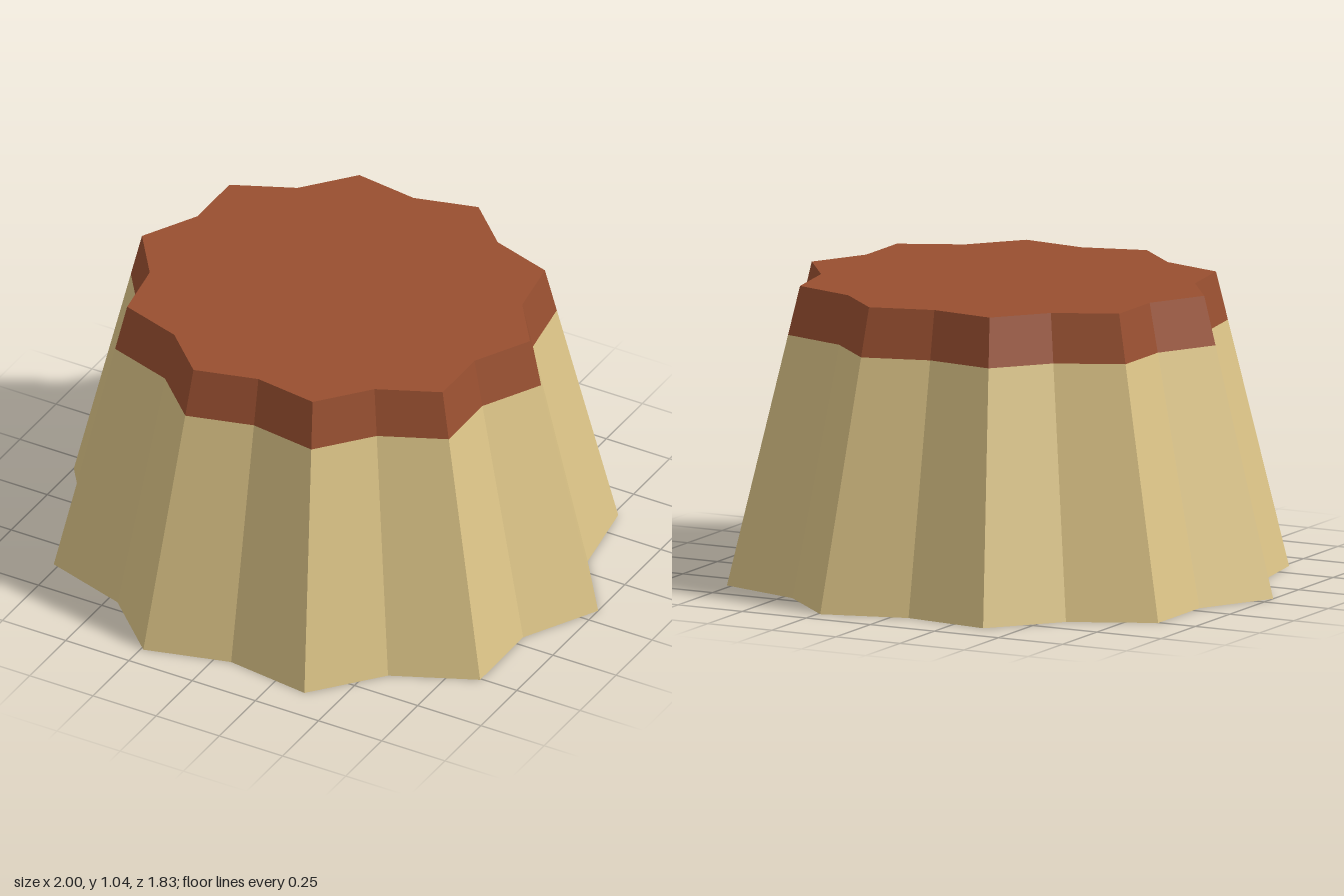
import * as THREE from 'three';

const HEIGHT = 1.04;   // total height
const BAND = 0.87;     // where the red cap begins
const TOP_SCALE = 0.74; // taper at the top

// Half of the fluted outline (x, z), ridges and valleys alternating;
// the other half is the same turned by 180 degrees.
const HALF = [
  [1.0, -0.065], [0.818, -0.312], [0.768, -0.612], [0.462, -0.707], [0.24, -0.917],
  [-0.06, -0.834], [-0.373, -0.875], [-0.57, -0.64], [-0.858, -0.506], [-0.857, -0.205],
];
const OUTLINE = [...HALF, ...HALF.map(([x, z]) => [-x, -z])];

// Outline scaled for a given height
function ring(y) {
  const s = 1 + (TOP_SCALE - 1) * (y / HEIGHT);
  return OUTLINE.map(([x, z]) => [x * s, y, z * s]);
}

function fromTriangles(corners) {
  const geometry = new THREE.BufferGeometry();
  geometry.setAttribute('position', new THREE.Float32BufferAttribute(corners.flat(), 3));
  geometry.computeVertexNormals();
  return geometry;
}

// Fluted wall between two heights
function wall(y0, y1) {
  const low = ring(y0), high = ring(y1), corners = [];
  low.forEach((a, i) => {
    const j = (i + 1) % low.length;
    corners.push(a, low[j], high[j], a, high[j], high[i]);
  });
  return fromTriangles(corners);
}

// Flat end face, facing up or down
function endFace(y, up) {
  const edge = ring(y), corners = [];
  edge.forEach((a, i) => {
    const b = edge[(i + 1) % edge.length];
    corners.push([0, y, 0], ...(up ? [a, b] : [b, a]));
  });
  return fromTriangles(corners);
}

export function createModel() {
  const group = new THREE.Group();
  group.name = 'flutedStump';

  const sand = new THREE.MeshStandardMaterial({ color: 0xdcc487 });
  sand.name = 'sand';
  const rust = new THREE.MeshStandardMaterial({ color: 0x984f30 });
  rust.name = 'rust';

  const add = (name, geometry, material) => {
    const mesh = new THREE.Mesh(geometry, material);
    mesh.name = name;
    group.add(mesh);
  };

  add('lowerWall', wall(0, BAND), sand);
  add('underside', endFace(0, false), sand);
  add('upperBand', wall(BAND, HEIGHT), rust);
  add('topFace', endFace(HEIGHT, true), rust);
  return group;
}
